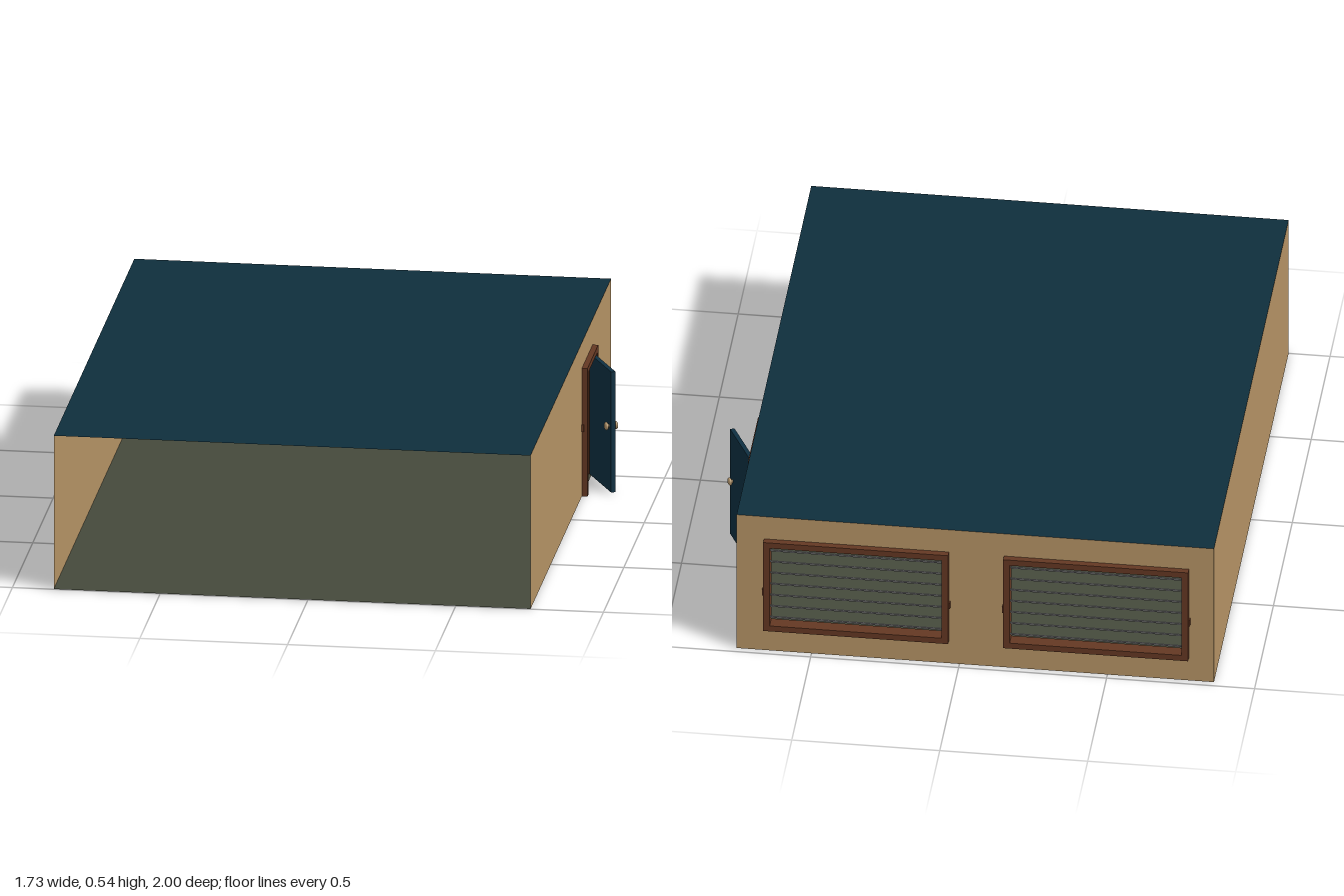
import * as THREE from 'three';

const mat = (name, color, side = THREE.FrontSide) => {
  const m = new THREE.MeshStandardMaterial({ color, side });
  m.name = name;
  return m;
};

export function createModel() {
  const wallMat = mat('tan wall', 0xb69466, THREE.DoubleSide);
  const roofMat = mat('dark blue roof', 0x0f2f3d, THREE.DoubleSide);
  const floorMat = mat('olive floor', 0x454a3c, THREE.DoubleSide);
  const woodMat = mat('brown wood', 0x643823);
  const slatMat = mat('grey slat', 0xb0b0b0);
  const doorMat = mat('blue door', 0x0f3042);
  const knobMat = mat('pale brass', 0xb89a70);

  const X0 = -0.86, X1 = 0.753, Z0 = -0.978, Z1 = 1, H = 0.54;
  const W = X1 - X0, D = Z1 - Z0, CX = (X0 + X1) / 2, CZ = (Z0 + Z1) / 2;
  const model = new THREE.Group();
  model.name = 'room';

  const add = (parent, name, geo, material, x = 0, y = 0, z = 0) => {
    const mesh = new THREE.Mesh(geo, material);
    mesh.name = name;
    mesh.position.set(x, y, z);
    parent.add(mesh);
    return mesh;
  };
  const polygon = (pts) => new THREE.Shape(pts.map(([x, y]) => new THREE.Vector2(x, y)));
  const rect = (x0, y0, x1, y1) => polygon([[x0, y0], [x1, y0], [x1, y1], [x0, y1]]);

  // Floor and roof sheets; the front of the room stays open
  add(model, 'floor', new THREE.PlaneGeometry(W, D).rotateX(-Math.PI / 2), floorMat, CX, 0.001, CZ);
  add(model, 'roof', new THREE.PlaneGeometry(W, D).rotateX(-Math.PI / 2), roofMat, CX, H, CZ);

  // Back wall with two window openings
  const windowCentres = [-0.463, 0.348];
  const winW = 0.625, winY0 = 0.092, winY1 = 0.45, border = 0.022, depth = 0.045;
  const back = rect(X0, 0, X1, H);
  for (const c of windowCentres) {
    const h = winW / 2 - border;
    back.holes.push(rect(c - h, winY0 + border, c + h, winY1 - border));
  }
  add(model, 'backWall', new THREE.ShapeGeometry(back), wallMat, 0, 0, Z0);

  // Side walls, drawn in (z, y); the right one has the doorway cut out
  const d0 = -0.505, d1 = -0.283, doorTop = 0.43;
  const sideGeo = (shape) => new THREE.ShapeGeometry(shape).rotateY(-Math.PI / 2);
  add(model, 'rightSideWall', sideGeo(rect(Z0, 0, Z1, H)), wallMat, X0);
  add(model, 'doorWall', sideGeo(polygon([
    [Z0, 0], [d0, 0], [d0, doorTop], [d1, doorTop], [d1, 0], [Z1, 0], [Z1, H], [Z0, H],
  ])), wallMat, X1);

  // Louvred windows
  const slatCount = 7, innerH = winY1 - winY0 - 2 * border, pitch = innerH / slatCount;
  for (const c of windowCentres) {
    const win = new THREE.Group();
    win.name = 'window';
    win.position.set(c, 0, Z0);
    const hw = winW / 2;
    const frame = rect(-hw, winY0, hw, winY1);
    frame.holes.push(rect(-hw + border, winY0 + border, hw - border, winY1 - border));
    const geo = new THREE.ExtrudeGeometry(frame, { depth, bevelEnabled: false });
    add(win, 'windowFrame', geo, woodMat, 0, 0, -depth / 2);
    for (const s of [-1, 1]) {
      add(win, 'frameCatch', new THREE.BoxGeometry(0.01, 0.025, 0.025), woodMat, s * hw, 0.24, 0);
    }
    for (let i = 0; i < slatCount; i++) {
      const y = winY0 + border + (i + 0.5) * pitch;
      const slat = add(win, 'slat', new THREE.BoxGeometry(winW - 2 * border, 0.003, 0.044), slatMat, 0, y, 0);
      slat.rotation.x = 0.7;
    }
    model.add(win);
  }

  // Door frame: two posts and a lintel
  const f0 = d0 - border, f1 = d1 + border;
  const doorFrame = polygon([
    [f0, 0], [d0, 0], [d0, doorTop], [d1, doorTop], [d1, 0], [f1, 0], [f1, 0.45], [f0, 0.45],
  ]);
  const frameGeo = new THREE.ExtrudeGeometry(doorFrame, { depth, bevelEnabled: false }).rotateY(-Math.PI / 2);
  add(model, 'doorFrame', frameGeo, woodMat, 0.772);
  for (const z of [f0, f1]) {
    add(model, 'frameCatch', new THREE.BoxGeometry(0.02, 0.025, 0.01), woodMat, 0.75, 0.24, z);
  }

  // Door leaf standing ajar on its hinge, with a knob on each face
  const door = new THREE.Group();
  door.name = 'door';
  door.position.set(0.752, 0, d0 + 0.002);
  door.rotation.y = 0.477;
  const leaf = 0.22;
  add(door, 'doorLeaf', new THREE.BoxGeometry(0.015, 0.424, leaf), doorMat, 0, 0.216, leaf / 2);
  for (const s of [-1, 1]) {
    const stem = add(door, 'knobStem', new THREE.CylinderGeometry(0.006, 0.006, 0.012, 12), knobMat, s * 0.011, 0.232, 0.198);
    stem.rotation.z = Math.PI / 2;
    const knob = add(door, 'knob', new THREE.SphereGeometry(0.014, 16, 12), knobMat, s * 0.017, 0.232, 0.198);
    knob.scale.x = 0.5;
  }
  model.add(door);

  return model;
}
